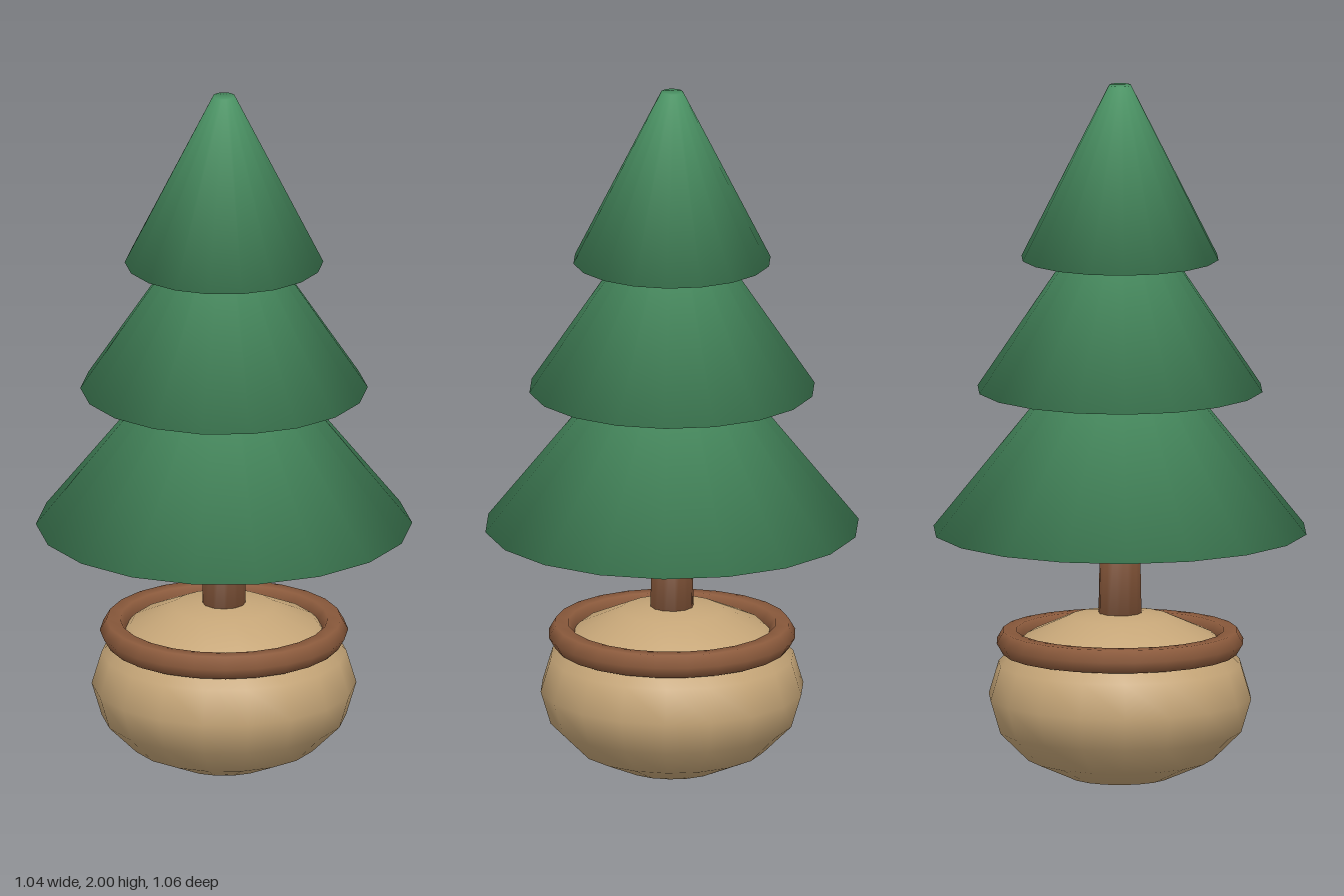
import * as THREE from 'three';

const SIDES = 18;

const leaf = new THREE.MeshStandardMaterial({ name: 'leafGreen', color: 0x4a9163 });
const bark = new THREE.MeshStandardMaterial({ name: 'barkBrown', color: 0x8b5a3c });
const clay = new THREE.MeshStandardMaterial({ name: 'clayTan', color: 0xc6a678 });

// Closed tapered cylinder whose normals are softened across the rims
function softFrustum(rBottom, rTop, y0, y1, sides = SIDES) {
  const positions = [], normals = [], index = [];
  const slope = new THREE.Vector2(y1 - y0, rBottom - rTop).normalize();
  const capWeight = 1 - 2 / sides;
  for (const [r, y, up] of [[rBottom, y0, -1], [rTop, y1, 1]]) {
    const n = new THREE.Vector2(slope.x, slope.y + up * capWeight).normalize();
    for (let i = 0; i < sides; i++) {
      const a = (i / sides) * Math.PI * 2;
      positions.push(r * Math.sin(a), y, r * Math.cos(a));
      normals.push(n.x * Math.sin(a), n.y, n.x * Math.cos(a));
    }
  }
  for (let i = 0; i < sides; i++) {
    const j = (i + 1) % sides;
    index.push(i, j, sides + j, i, sides + j, sides + i);
    if (i > 0 && j > 0) index.push(0, j, i, sides, sides + i, sides + j);
  }
  const geometry = new THREE.BufferGeometry();
  geometry.setAttribute('position', new THREE.Float32BufferAttribute(positions, 3));
  geometry.setAttribute('normal', new THREE.Float32BufferAttribute(normals, 3));
  geometry.setIndex(index);
  return geometry;
}

export function createModel() {
  const model = new THREE.Group();
  model.name = 'pottedTree';
  const add = (name, geometry, material) => {
    const mesh = new THREE.Mesh(geometry, material);
    mesh.name = name;
    model.add(mesh);
    return mesh;
  };

  // Rounded pot, a squashed sphere
  const pot = new THREE.SphereGeometry(1, SIDES, 8);
  pot.rotateY(Math.PI / 2);
  pot.scale(0.373, 0.248, 0.373);
  add('pot', pot, clay).position.y = 0.25;

  // Ring around the pot's mouth
  const rim = new THREE.TorusGeometry(0.312, 0.038, 6, 24);
  rim.rotateX(Math.PI / 2);
  add('potRim', rim, bark).position.y = 0.408;

  // Trunk
  add('trunk', softFrustum(0.063, 0.055, 0.4, 0.8, 12), bark);

  // Foliage tiers: bottom radius, top radius, bottom y, top y
  const tiers = [
    ['lowerFoliage', 0.53, 0.05, 0.725, 1.325],
    ['middleFoliage', 0.405, 0.037, 1.13, 1.68],
    ['upperFoliage', 0.28, 0.031, 1.505, 2],
  ];
  for (const [name, ...size] of tiers) add(name, softFrustum(...size), leaf);

  return model;
}
